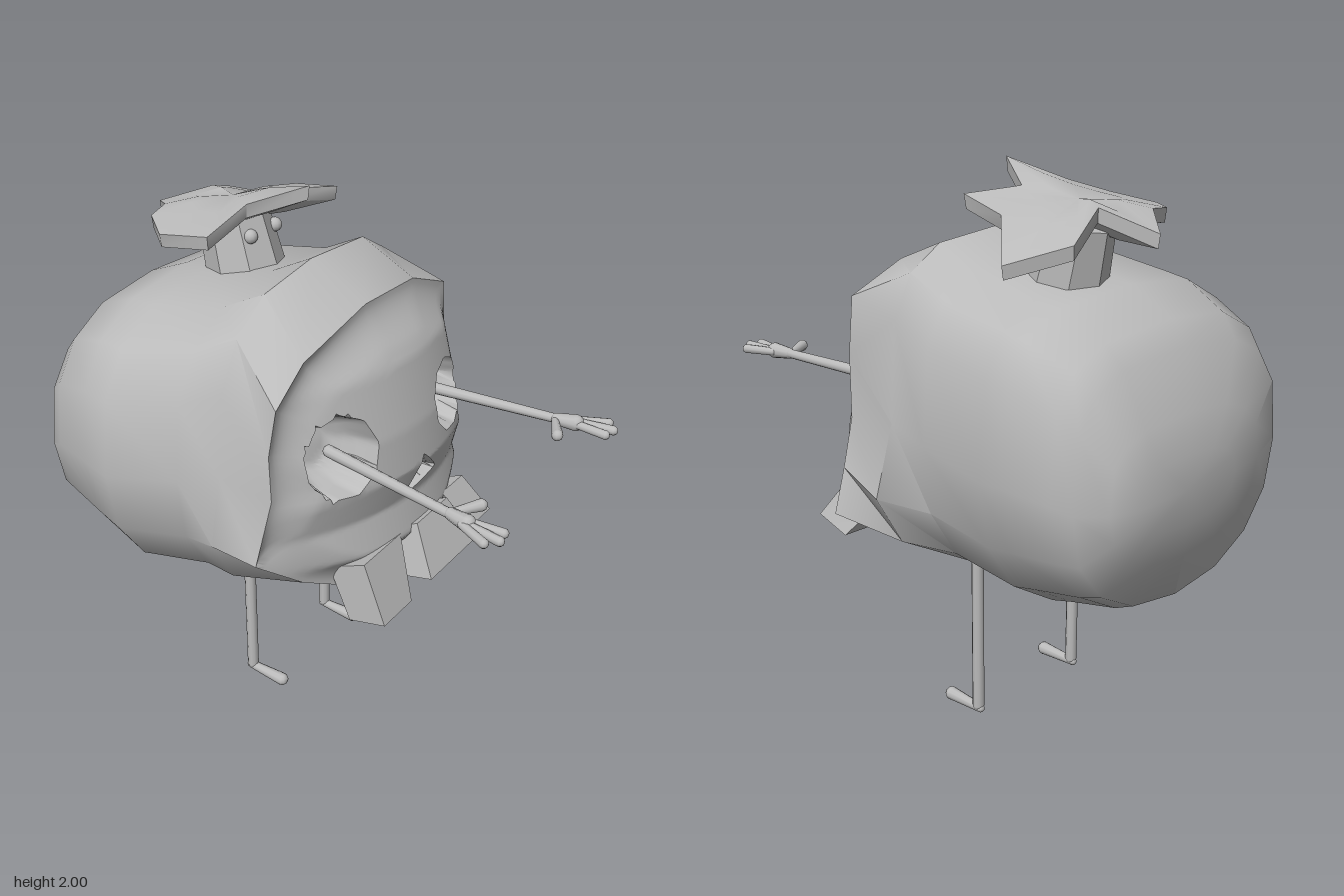
import * as THREE from 'three';
import { mergeGeometries, toCreasedNormals } from 'three/addons/utils/BufferGeometryUtils.js';

const grey = new THREE.MeshStandardMaterial({ color: 0xbbbbbb, side: THREE.DoubleSide });
grey.name = 'grey';

// Skin a list of closed rings of [x, y, z]; caps fan to the ring centre.
function loft(rings, crease, capStart = true, capEnd = true) {
  const n = rings[0].length, pos = rings.flat(2), index = [];
  for (let i = 0; i < rings.length - 1; i++) {
    for (let j = 0; j < n; j++) {
      const k = (j + 1) % n, a = i * n + j, b = i * n + k;
      index.push(a, a + n, b, b, a + n, b + n);
    }
  }
  const cap = (r, flip) => {
    const c = pos.length / 3;
    for (let d = 0; d < 3; d++) pos.push(rings[r].reduce((s, p) => s + p[d], 0) / n);
    for (let j = 0; j < n; j++) {
      const a = r * n + j, b = r * n + (j + 1) % n;
      index.push(c, ...(flip ? [b, a] : [a, b]).reverse());
    }
  };
  if (capStart) cap(0, true);
  if (capEnd) cap(rings.length - 1, false);
  const g = new THREE.BufferGeometry();
  g.setAttribute('position', new THREE.Float32BufferAttribute(pos, 3));
  g.setIndex(index);
  return toCreasedNormals(g, crease);
}

function add(parent, name, geometry) {
  const m = new THREE.Mesh(geometry, grey);
  m.name = name;
  parent.add(m);
  return m;
}

// Rounded tapering rod between two points
function rod(parent, name, a, b, r0, r1) {
  const A = new THREE.Vector3(...a), B = new THREE.Vector3(...b), d = B.clone().sub(A);
  const q = new THREE.Quaternion().setFromUnitVectors(new THREE.Vector3(0, 1, 0), d.clone().normalize());
  const mid = A.clone().add(B).multiplyScalar(0.5);
  const c = new THREE.CylinderGeometry(r1, r0, d.length(), 10, 1, true).applyQuaternion(q).translate(mid.x, mid.y, mid.z);
  const s0 = new THREE.SphereGeometry(r0, 10, 6).translate(...a);
  const s1 = new THREE.SphereGeometry(r1, 10, 6).translate(...b);
  return add(parent, name, mergeGeometries([c, s0, s1]));
}

// Body stations: x, bottom, top, right side z, left side z, cheek flare
const STATIONS = [
  [-0.95, 0.93, 1.17, -0.33, 0.15, 0], [-0.91, 0.8, 1.29, -0.42, 0.33, 0],
  [-0.82, 0.6, 1.47, -0.485, 0.55, 0], [-0.76, 0.575, 1.55, -0.525, 0.575, 0],
  [-0.58, 0.53, 1.63, -0.56, 0.63, 0], [-0.47, 0.49, 1.64, -0.545, 0.645, 0],
  [-0.2, 0.525, 1.69, -0.54, 0.575, 0.01], [-0.05, 0.55, 1.765, -0.55, 0.53, 0.09],
];
// Edge of the face: x, y, z, starting on the left side and going over the top
const FACE_EDGE = [
  [0.15, 1.12, 0.5], [0.15, 1.3, 0.51], [0.16, 1.46, 0.48], [0.17, 1.58, 0.34],
  [0.18, 1.66, 0], [0.18, 1.645, -0.3], [0.18, 1.55, -0.52], [0.18, 1.35, -0.54],
  [0.18, 1.12, -0.54], [0.17, 0.95, -0.59], [0.165, 0.79, -0.64], [0.26, 0.71, -0.43],
  [0.28, 0.63, -0.1], [0.25, 0.62, 0.18], [0.19, 0.73, 0.38], [0.135, 0.89, 0.575],
];

function bodyRing([x, y0, y1, z0, z1, flare]) {
  return FACE_EDGE.map((_, j) => {
    const t = (j / FACE_EDGE.length) * Math.PI * 2, c = Math.cos(t), s = Math.sin(t);
    const e = 2 / (s < -1e-6 ? 2.2 : c < 0 ? 3.5 : 2.7);
    const bulge = [9, 10].includes(j) ? -1.25 * flare : [14, 15].includes(j) ? flare : 0;
    return [x, (y0 + y1) / 2 + Math.sign(s) * Math.abs(s) ** e * (y1 - y0) / 2,
      (z0 + z1) / 2 + Math.sign(c) * Math.abs(c) ** e * (z1 - z0) / 2 + bulge];
  });
}

// Forward position of the face surface at a given height and side
const PROFILE = [[0.6, 0.27], [0.78, 0.375], [0.92, 0.345], [1.06, 0.38], [1.22, 0.36], [1.45, 0.3], [1.67, 0.17]];
function faceX(y, z) {
  const i = Math.max(0, PROFILE.findLastIndex(([a], k) => k < PROFILE.length - 1 && y >= a));
  const [a, xa] = PROFILE[i], [b, xb] = PROFILE[i + 1];
  return xa + (xb - xa) * (y - a) / (b - a) - 0.55 * (z + 0.13) ** 2;
}

// Sunken openings: outline of [y, z], centre and depth
const eye = (y, z, ry, rz) => ({
  y, z, depth: 0.16,
  outline: Array.from({ length: 9 }, (_, i) => {
    const t = (i / 9) * Math.PI * 2 + 0.25;
    return [y + ry * Math.sin(t), z + rz * Math.cos(t)];
  }),
});
const HOLES = [
  eye(1.21, 0.255, 0.155, 0.137), eye(1.22, -0.325, 0.135, 0.125),
  { y: 1.0, z: -0.113, depth: 0.08, outline: [[1.09, -0.1], [0.975, -0.22], [0.94, -0.02]] },
];

// 0 at the centre of an opening, 1 on its outline
function gauge({ y: cy, z: cz, outline }, y, z) {
  return Math.max(...outline.map(([ay, az], i) => {
    const [by, bz] = outline[(i + 1) % outline.length], ny = bz - az, nz = ay - by;
    return (ny * (y - cy) + nz * (z - cz)) / (ny * (ay - cy) + nz * (az - cz));
  }));
}

// Face: fine rings shrinking from the edge, with vertices snapped to the openings and sunk inside them
function faceGeometry() {
  const STEPS = 6, RINGS = 36, rings = [];
  const edge = FACE_EDGE.flatMap((p, j) => {
    const q = FACE_EDGE[(j + 1) % FACE_EDGE.length];
    return Array.from({ length: STEPS }, (_, k) => p.map((v, d) => v + (q[d] - v) * k / STEPS));
  });
  for (let r = 0; r < RINGS; r++) {
    const s = 1 - r / RINGS;
    rings.push(edge.map(([ex, ey, ez]) => {
      let y = 1.08 + (ey - 1.08) * s, z = -0.06 + (ez + 0.06) * s, sink = 0;
      for (const h of HOLES) {
        const g = gauge(h, y, z);
        if (Math.abs(g - 1) * Math.hypot(y - h.y, z - h.z) / g < 0.011) {
          y = h.y + (y - h.y) / g;
          z = h.z + (z - h.z) / g;
        } else if (g < 1) sink = h.depth * Math.min(1, 2 * Math.sqrt(1 - g) * 0.75);
      }
      const w = Math.max(0, (s - 0.72) / 0.28) ** 1.5;
      return [faceX(y, z) * (1 - w) + ex * w - sink, y, z];
    }));
  }
  return loft(rings, 0.7, false, true);
}

// Teeth: top z pair, bottom z pair, top y, bottom y, front x at top and bottom
const TEETH = [
  [0.25, 0.015, 0.255, 0.075, 0.8, 0.575, 0.36, 0.455],
  [-0.05, -0.26, 0.0, -0.32, 0.82, 0.64, 0.39, 0.49],
  [-0.29, -0.44, -0.35, -0.5, 0.81, 0.66, 0.35, 0.45],
];

// Cap outline: x, y, z
const CAP = [
  [-0.485, 1.75, -0.46], [-0.35, 1.87, -0.33], [-0.15, 1.91, -0.305], [-0.25, 1.93, -0.14],
  [-0.09, 2.0, -0.055], [-0.27, 1.93, 0.06], [-0.29, 1.87, 0.25], [-0.47, 1.85, 0.285],
  [-0.59, 1.86, 0.19], [-0.605, 1.87, 0.1], [-0.73, 1.82, -0.01], [-0.55, 1.89, -0.1], [-0.63, 1.81, -0.295],
];

export function createModel() {
  const model = new THREE.Group();
  model.name = 'skullCreature';
  add(model, 'body', loft([...STATIONS.map(bodyRing), FACE_EDGE], 0.75, true, false));
  add(model, 'face', faceGeometry());

  for (const [ta, tb, ba, bb, yt, yb, xt, xb] of TEETH) {
    add(model, 'tooth', loft([
      [[xt, yt, ta], [xt, yt, tb], [xt - 0.15, yt - 0.07, tb], [xt - 0.15, yt - 0.07, ta]],
      [[xb, yb, ba], [xb, yb, bb], [xb - 0.15, yb - 0.04, bb], [xb - 0.15, yb - 0.04, ba]],
    ], 0.3));
  }

  // Stalk with two little eyes and a leafy cap
  const stalk = add(model, 'stalk', toCreasedNormals(new THREE.CylinderGeometry(0.13, 0.15, 0.24, 8), 0.3));
  stalk.position.set(-0.4, 1.72, -0.06);
  stalk.rotation.z = 0.25;
  stalk.scale.z = 0.95;
  for (const z of [0, -0.14]) {
    add(model, 'stalkEye', new THREE.SphereGeometry(0.026, 12, 8)).position.set(-0.305, 1.785, z);
  }
  const capRing = (k, dy) => CAP.map(([x, y, z]) =>
    [-0.42 + (x + 0.42) * k, 1.92 + (y - 1.92) * k + dy, -0.04 + (z + 0.04) * k]);
  add(model, 'cap', loft([capRing(0.5, -0.09), capRing(0.98, -0.05), capRing(1, 0), capRing(0.5, 0)], 0.9));

  // Arms reaching out of the eye sockets; hands spread sideways
  for (const [side, z0, z1] of [[1, 0.24, 0.325], [-1, -0.34, -0.405]]) {
    const arm = new THREE.Group();
    arm.name = side > 0 ? 'leftArm' : 'rightArm';
    model.add(arm);
    const at = (x, dz) => [x, 1.208, z1 + side * dz];
    rod(arm, 'armRod', [0.2, 1.208, z0], [0.72, 1.208, z1], 0.022, 0.017);
    rod(arm, 'palm', at(0.73, 0), at(0.8, 0.015), 0.021, 0.03);
    for (const [x, dz] of [[0.895, 0.08], [0.93, 0.042], [0.92, -0.003]]) {
      rod(arm, 'finger', at(0.79, 0.008 + dz * 0.3), at(x, dz), 0.015, 0.017);
    }
    rod(arm, 'thumb', at(0.73, -0.01), at(0.785, -0.1), 0.013, 0.021);
  }

  // Legs and feet
  for (const z of [0.195, -0.3]) {
    const leg = new THREE.Group();
    leg.name = z > 0 ? 'leftLeg' : 'rightLeg';
    model.add(leg);
    rod(leg, 'shin', [-0.205, 0.62, z - 0.005], [-0.2, 0.04, z], 0.022, 0.022);
    rod(leg, 'foot', [-0.21, 0.03, z], [-0.055, 0.026, z], 0.016, 0.025);
  }
  return model;
}
